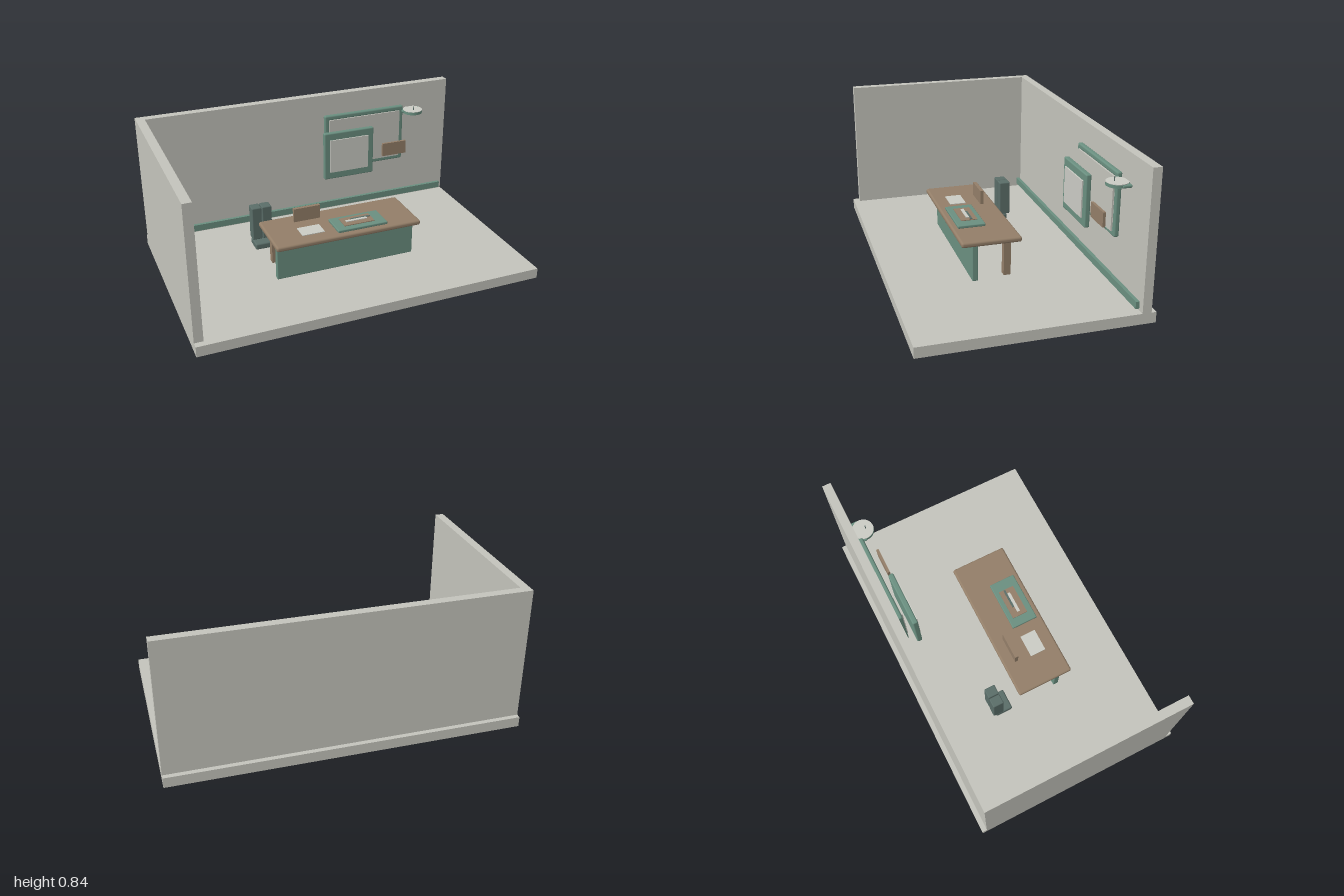
import * as THREE from 'three';
import { RoundedBoxGeometry } from 'three/addons/geometries/RoundedBoxGeometry.js';

const material = (name, color) => {
  const m = new THREE.MeshStandardMaterial({ color });
  m.name = name;
  return m;
};

export function createModel() {
  const stone = material('pale stone', 0xc3c3bb);
  const paper = material('paper', 0xcacbc4);
  const teal = material('muted teal', 0x6a8f80);
  const wood = material('wood', 0x937e68);
  const slate = material('dark slate', 0x5a6d68);

  const model = new THREE.Group();
  model.name = 'officeRoom';

  const add = (parent, name, geometry, mat, x, y, z) => {
    const mesh = new THREE.Mesh(geometry, mat);
    mesh.name = name;
    mesh.position.set(x, y, z);
    parent.add(mesh);
    return mesh;
  };
  // Box given by its extents [min, max] on each axis, optionally with rounded edges
  const box = (parent, name, mat, [x0, x1], [y0, y1], [z0, z1], r = 0) => {
    const size = [x1 - x0, y1 - y0, z1 - z0];
    const geometry = r ? new RoundedBoxGeometry(...size, 3, r) : new THREE.BoxGeometry(...size);
    return add(parent, name, geometry, mat, (x0 + x1) / 2, (y0 + y1) / 2, (z0 + z1) / 2);
  };
  const group = (name) => {
    const g = new THREE.Group();
    g.name = name;
    model.add(g);
    return g;
  };

  // Room shell
  const room = group('room');
  box(room, 'floor', stone, [-1, 1], [0, 0.06], [-0.625, 0.625]);
  box(room, 'backWall', stone, [-1, 1], [0.06, 0.837], [-0.598, -0.548]);
  box(room, 'sideWall', stone, [-1, -0.95], [0.06, 0.837], [-0.548, 0.588]);
  box(room, 'wallRail', teal, [-0.95, 0.975], [0.078, 0.118], [-0.54, -0.52]);

  // Desk with front panel and rear legs
  const desk = group('desk');
  box(desk, 'deskTop', wood, [-0.438, 0.435], [0.268, 0.298], [-0.098, 0.24], 0.012);
  box(desk, 'frontPanel', teal, [-0.42, 0.417], [0.06, 0.268], [0.145, 0.178], 0.005);
  for (const x of [-0.37, 0.37]) {
    box(desk, 'rearLeg', wood, [x - 0.019, x + 0.019], [0.06, 0.27], [-0.048, -0.008]);
  }

  // Items on the desk
  const items = group('deskItems');
  box(items, 'namePlate', wood, [-0.25, -0.09], [0.298, 0.38], [-0.031, -0.011]);
  box(items, 'paperSheet', paper, [-0.262, -0.128], [0.298, 0.302], [0.068, 0.162]);
  box(items, 'deskPad', teal, [-0.065, 0.238], [0.298, 0.315], [0.052, 0.21], 0.005);
  box(items, 'padInset', wood, [-0.012, 0.172], [0.315, 0.319], [0.08, 0.174]);
  box(items, 'padDarkLine', slate, [0.05, 0.168], [0.319, 0.323], [0.108, 0.12]);
  box(items, 'padLightLine', paper, [0.012, 0.142], [0.319, 0.323], [0.12, 0.138]);

  // Chair with a split back
  const chair = group('chair');
  box(chair, 'seat', slate, [-0.443, -0.32], [0.083, 0.121], [-0.25, -0.146], 0.009);
  for (const x of [-0.413, -0.351]) {
    box(chair, 'backCushion', slate, [x - 0.029, x + 0.029], [0.121, 0.328], [-0.268, -0.203], 0.006);
  }

  // Frame on the back wall
  const frame = group('wallFrame');
  const fz = [-0.548, -0.518];
  for (const y of [0.345, 0.677]) box(frame, 'frameRail', teal, [0.143, 0.68], [y, y + 0.031], fz, 0.01);
  for (const x of [0.143, 0.649]) box(frame, 'framePost', teal, [x, x + 0.031], [0.345, 0.708], fz, 0.01);
  box(frame, 'framePanel', stone, [0.17, 0.652], [0.372, 0.68], [-0.519, -0.51]);

  // Display panel standing in front of the frame
  const display = group('display');
  box(display, 'displayBody', teal, [0.113, 0.445], [0.311, 0.62], [-0.481, -0.45], 0.008);
  box(display, 'displayFace', paper, [0.149, 0.406], [0.358, 0.574], [-0.45, -0.442]);
  box(model, 'woodPlaque', wood, [0.512, 0.675], [0.408, 0.493], [-0.468, -0.453]);

  // Small round shelf with a pin
  const shelf = group('roundShelf');
  box(shelf, 'bracket', teal, [0.668, 0.802], [0.664, 0.681], [-0.548, -0.495], 0.007);
  add(shelf, 'disc', new THREE.CylinderGeometry(0.061, 0.061, 0.018, 40), teal, 0.735, 0.673, -0.494);
  add(shelf, 'discFace', new THREE.CylinderGeometry(0.061, 0.061, 0.003, 40), paper, 0.735, 0.6835, -0.494);
  add(shelf, 'pin', new THREE.CylinderGeometry(0.003, 0.003, 0.024, 10), slate, 0.735, 0.697, -0.477);

  return model;
}
